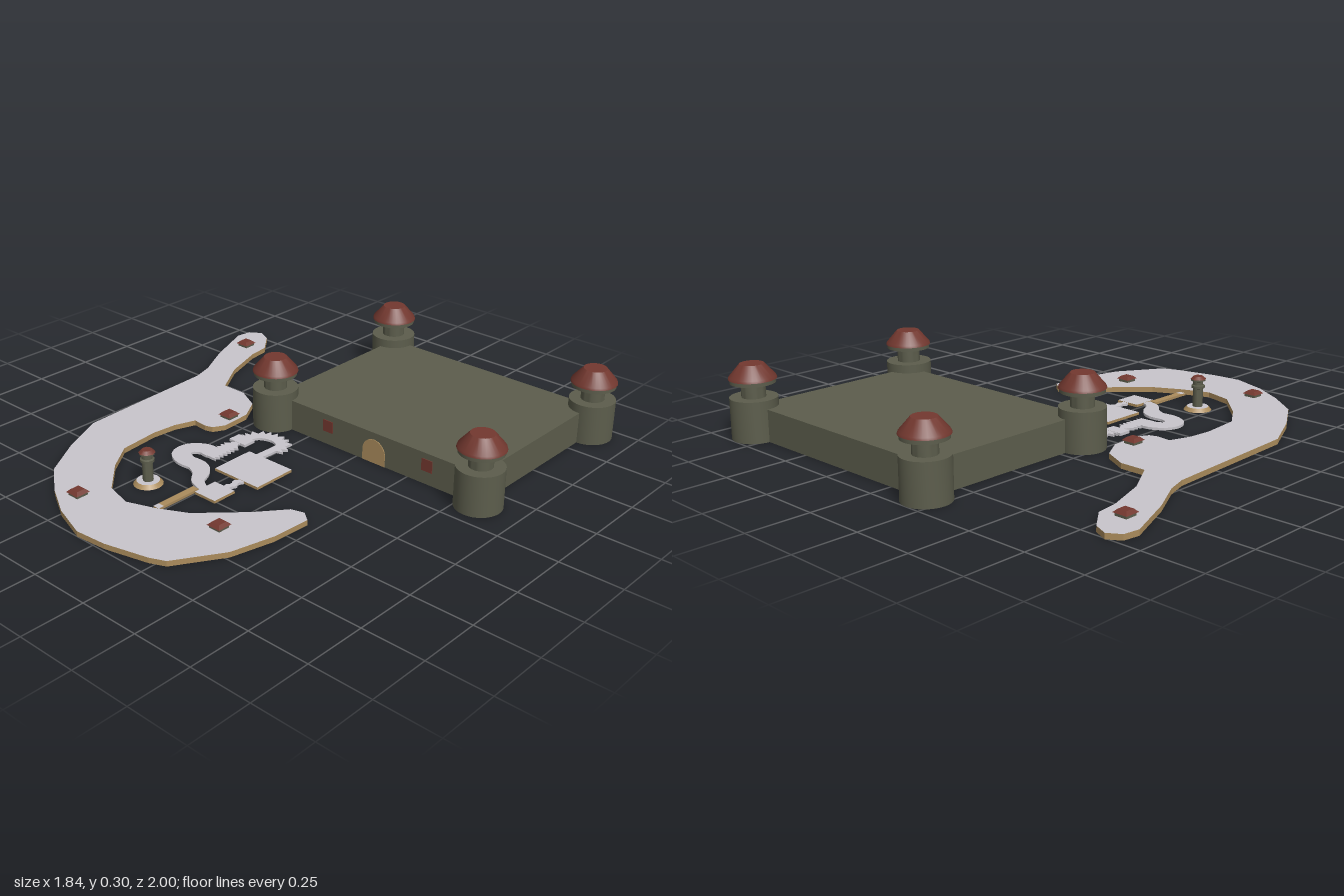
import * as THREE from 'three';
import { toCreasedNormals } from 'three/addons/utils/BufferGeometryUtils.js';

const mat = (name, color) => {
  const m = new THREE.MeshStandardMaterial({ color, side: THREE.DoubleSide });
  m.name = name;
  return m;
};

export function createModel() {
  const model = new THREE.Group();
  const olive = mat('olive stone', 0x5c5d4c);
  const red = mat('roof red', 0x73382f);
  const tan = mat('sand tan', 0xab8c5c);
  const grey = mat('pale grey', 0xc8c5cb);

  const add = (parent, name, geometry, material, x = 0, y = 0, z = 0) => {
    const mesh = new THREE.Mesh(geometry, material);
    mesh.name = name;
    mesh.position.set(x, y, z);
    parent.add(mesh);
    return mesh;
  };
  const group = (name, x = 0, y = 0, z = 0) => {
    const g = new THREE.Group();
    g.name = name;
    g.position.set(x, y, z);
    model.add(g);
    return g;
  };

  // Hollow slab, open below: a top sheet and a skirt around an [x, z] outline
  const slab = (name, outline, y0, y1, topMat, sideMat) => {
    const g = group(name);
    const shape = new THREE.Shape(outline.map(([x, z]) => new THREE.Vector2(x, -z)));
    add(g, name + 'Top', new THREE.ShapeGeometry(shape).rotateX(-Math.PI / 2), topMat, 0, y1, 0);
    const ccw = THREE.ShapeUtils.area(shape.getPoints()) > 0;
    const ring = ccw ? outline : outline.slice().reverse();
    const pos = [];
    ring.forEach(([ax, az], i) => {
      const [bx, bz] = ring[(i + 1) % ring.length];
      pos.push(ax, y0, az, bx, y0, bz, bx, y1, bz, ax, y0, az, bx, y1, bz, ax, y1, az);
    });
    const wall = new THREE.BufferGeometry();
    wall.setAttribute('position', new THREE.Float32BufferAttribute(pos, 3));
    wall.computeVertexNormals();
    add(g, name + 'Side', wall, sideMat);
    return g;
  };
  const rect = (x0, x1, z0, z1) => [[x0, z0], [x0, z1], [x1, z1], [x1, z0]];

  // Outline of a flat band following a curve, half width given by a rule
  const band = (points, n, halfWidth) => {
    const curve = new THREE.CatmullRomCurve3(points.map(([x, z]) => new THREE.Vector3(x, 0, z)));
    const left = [], right = [];
    for (let i = 0; i <= n; i++) {
      const p = curve.getPointAt(i / n), t = curve.getTangentAt(i / n), w = halfWidth(i / n, i);
      left.push([p.x + t.z * w[0], p.z - t.x * w[0]]);
      right.unshift([p.x - t.z * w[1], p.z + t.x * w[1]]);
    }
    return left.concat(right);
  };

  const lathe = (pts, sides) => toCreasedNormals(
    new THREE.LatheGeometry(pts.map(p => new THREE.Vector2(...p)), sides), 0.6);

  // Castle hall
  slab('castleHall', rect(-0.185, 0.825, -0.91, -0.13), 0, 0.13, olive, olive);

  // Corner towers with flared roofs
  const towerGeo = lathe([[0.093, 0], [0.093, 0.165], [0.047, 0.165], [0.047, 0.222],
    [0.088, 0.222], [0.088, 0.24], [0, 0.24]], 32);
  const roofGeo = lathe([[0, 0.238], [0.093, 0.238], [0.09, 0.247], [0.047, 0.297], [0, 0.297]], 32);
  for (const x of [-0.187, 0.825]) for (const z of [-0.907, -0.133]) {
    const tower = group('cornerTower', x, 0, z);
    add(tower, 'towerBody', towerGeo, olive);
    add(tower, 'towerRoof', roofGeo, red);
  }

  // Arched door and two windows, set through the front wall
  const arch = new THREE.Shape();
  arch.moveTo(-0.055, 0);
  arch.lineTo(0.055, 0);
  arch.lineTo(0.055, 0.045);
  arch.absarc(0, 0.045, 0.055, 0, Math.PI, false);
  add(model, 'door', new THREE.ExtrudeGeometry(arch, { depth: 0.006, bevelEnabled: false, curveSegments: 12 }),
    tan, 0.335, 0.001, -0.133);
  for (const x of [0.10, 0.59]) {
    add(model, 'window', new THREE.BoxGeometry(0.05, 0.05, 0.006), red, x, 0.08, -0.13);
  }

  // Curved outer land
  const land = [[-0.92, -0.66], [-0.91, -0.725], [-0.86, -0.757], [-0.80, -0.73], [-0.725, -0.635],
    [-0.715, -0.545], [-0.655, -0.365], [-0.566, -0.217], [-0.455, -0.217], [-0.35, -0.164],
    [-0.296, -0.07], [-0.29, 0.058], [-0.317, 0.106], [-0.35, 0.116], [-0.413, 0.11],
    [-0.444, 0.196], [-0.455, 0.30], [-0.44, 0.47], [-0.36, 0.587], [-0.233, 0.714],
    [-0.116, 0.746], [0, 0.704], [0.116, 0.645], [0.275, 0.49], [0.365, 0.38], [0.418, 0.365],
    [0.46, 0.397], [0.45, 0.556], [0.407, 0.735], [0.29, 0.92], [0.228, 0.947], [0.048, 0.99],
    [-0.085, 1], [-0.238, 0.947], [-0.376, 0.868], [-0.508, 0.767], [-0.614, 0.598],
    [-0.704, 0.407], [-0.73, -0.21], [-0.757, -0.30], [-0.836, -0.45]];
  slab('outerLand', land, 0, 0.022, grey, tan);

  // Small huts on the land
  const hutRoof = new THREE.CylinderGeometry(0.026, 0.044, 0.012, 4).rotateY(Math.PI / 4).toNonIndexed();
  hutRoof.computeVertexNormals();
  for (const [x, z] of [[-0.81, -0.6], [-0.335, -0.01], [-0.285, 0.83], [0.265, 0.645]]) {
    const hut = group('hut', x, 0, z);
    add(hut, 'hutBody', new THREE.BoxGeometry(0.05, 0.014, 0.05), olive, 0, 0.027, 0);
    add(hut, 'hutRoof', hutRoof, red, 0, 0.04, 0);
  }

  // Watchtower on its round islet
  const watch = group('watchtower', -0.19, 0, 0.57);
  add(watch, 'isletSide', new THREE.CylinderGeometry(0.045, 0.058, 0.015, 20, 1, true), tan, 0, 0.0075, 0);
  add(watch, 'isletTop', new THREE.CircleGeometry(0.045, 20).rotateX(-Math.PI / 2), grey, 0, 0.015, 0);
  add(watch, 'column', lathe([[0.021, 0], [0.021, 0.092], [0.028, 0.095], [0.028, 0.105],
    [0.021, 0.108], [0.021, 0.122], [0.03, 0.125], [0.03, 0.132]], 12), olive);
  add(watch, 'cap', new THREE.CylinderGeometry(0.02, 0.033, 0.012, 8), red, 0, 0.138, 0);

  // Footbridge
  slab('bridge', rect(-0.03, 0, 0.49, 0.665), 0.004, 0.014, tan, tan);
  slab('bridgeEnd', rect(-0.03, 0, 0.665, 0.69), 0.004, 0.014, grey, tan);

  // Inner courts
  const y0 = 0.003, y1 = 0.014;
  slab('largeCourt', rect(-0.07, 0.155, 0.145, 0.335), y0, y1, grey, tan);
  slab('smallCourt', rect(0.005, 0.11, 0.41, 0.515), y0, y1, grey, tan);
  slab('littleCourt', rect(-0.205, -0.12, 0.065, 0.12), y0, y1, grey, grey);

  // Paths joining the courts: wavy, curling and jagged
  slab('wavyPath', band([[0.068, 0.33], [0.068, 0.37], [0.068, 0.415]], 8,
    (t, i) => i % 4 < 2 ? [0.018, 0.010] : [0.010, 0.018]), y0, y1 - 0.001, grey, grey);
  slab('curlingPath', band([[-0.17, 0.245], [-0.22, 0.245], [-0.265, 0.28], [-0.262, 0.33],
    [-0.21, 0.36], [-0.14, 0.36], [-0.09, 0.39], [-0.05, 0.445], [0.01, 0.475]], 32,
  t => { const w = t < 0.65 ? 0.038 : 0.038 - (t - 0.65) * 0.062; return [w, w]; }),
  y0, y1 - 0.001, grey, grey);
  slab('jaggedPath', band([[-0.16, 0.115], [-0.16, 0.2], [-0.16, 0.28]], 16,
    (t, i) => { const w = (i % 2 ? 0.022 : 0.04) * (t < 0.15 ? 0.45 : 1); return [w, w]; }),
  y0, y1 - 0.001, grey, grey);
  slab('spikyPath', band([[-0.158, 0.075], [-0.135, 0.022], [-0.07, 0.0], [-0.018, 0.022],
    [-0.013, 0.07], [-0.016, 0.15]], 28,
  (t, i) => [t > 0.72 ? 0.016 : i % 2 ? 0.022 : 0.046, 0.018]), y0, y1 - 0.001, grey, grey);

  return model;
}
